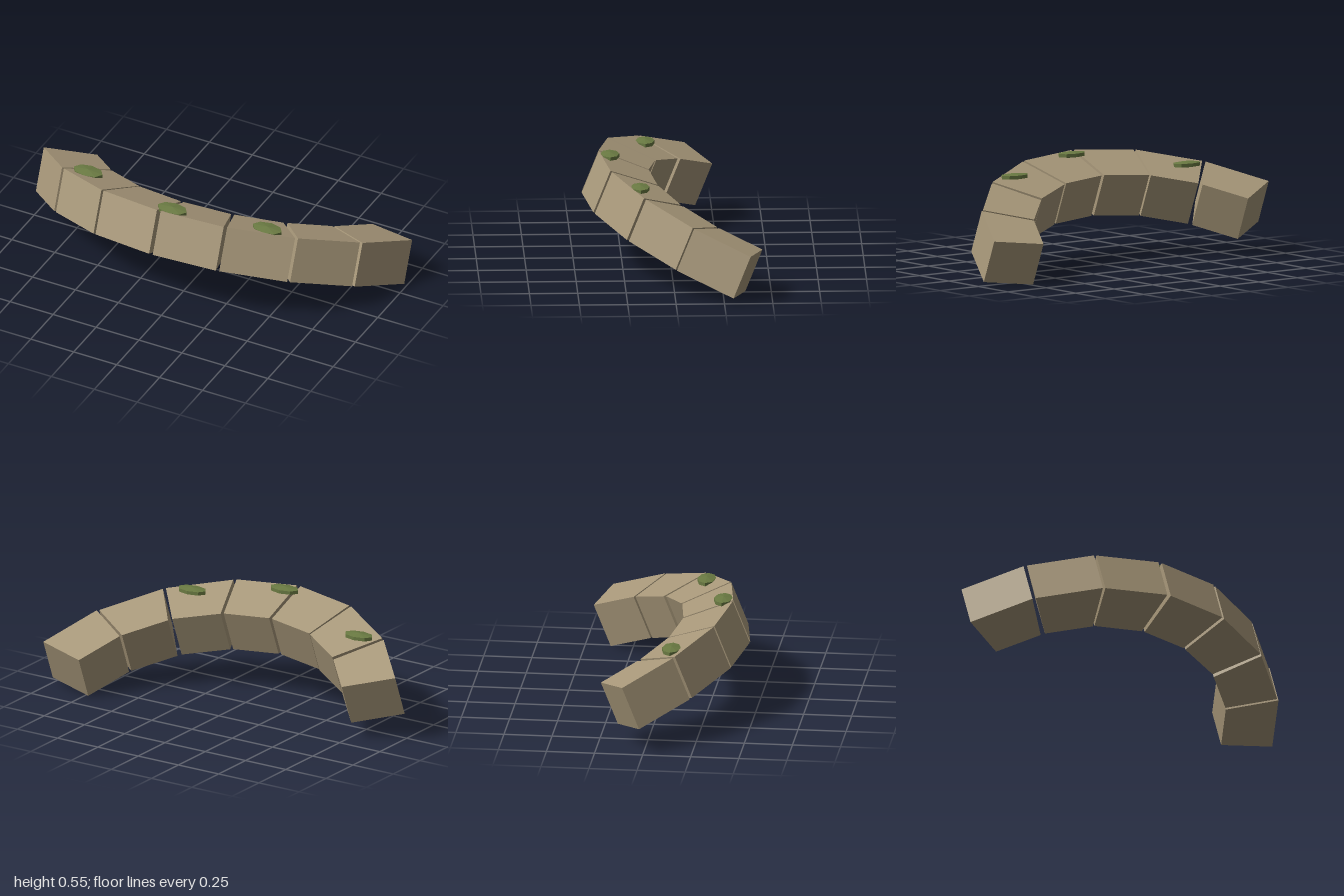
import * as THREE from 'three';

const TILT = 0.381;      // lean of the whole arch
const THICKNESS = 0.238; // depth of every block

export function createModel() {
  const model = new THREE.Group();
  model.name = 'fallenStoneArch';
  const stone = new THREE.MeshStandardMaterial({ color: 0xa8987a, flatShading: true });
  stone.name = 'sandstone';
  const moss = new THREE.MeshStandardMaterial({ color: 0x6a7a42, flatShading: true });
  moss.name = 'moss green';

  // Wedge blocks: plan corners (x, z) of the upper face, inner edge then outer edge
  const blocks = [
    [[-0.76, -0.245], [-0.594, -0.075], [-0.77, 0.13], [-1, -0.107]],
    [[-0.578, -0.06], [-0.36, 0.058], [-0.45, 0.305], [-0.755, 0.139]],
    [[-0.353, 0.063], [-0.092, 0.105], [-0.096, 0.364], [-0.437, 0.308]],
    [[-0.075, 0.105], [0.183, 0.069], [0.267, 0.315], [-0.075, 0.364]],
    [[0.198, 0.063], [0.428, -0.043], [0.598, 0.153], [0.283, 0.308]],
    [[0.444, -0.058], [0.618, -0.225], [0.849, -0.091], [0.61, 0.143]],
    [[0.733, -0.455], [1, -0.385], [0.861, -0.097], [0.626, -0.235]],
  ];
  const arch = new THREE.Group();
  arch.name = 'arch';
  arch.position.y = 0.407;
  arch.rotation.x = -TILT;
  blocks.forEach((corners, i) => {
    const outline = new THREE.Shape(
      corners.map(([x, z]) => new THREE.Vector2(x, -z / Math.cos(TILT))));
    const geometry = new THREE.ExtrudeGeometry(outline, { depth: THICKNESS, bevelEnabled: false });
    geometry.rotateX(-Math.PI / 2);
    geometry.translate(0, -THICKNESS, 0);
    const block = new THREE.Mesh(geometry, stone);
    block.name = `archBlock${i + 1}`;
    arch.add(block);
  });
  model.add(arch);

  // Flat moss tufts lying level on the upper face
  const tuft = new THREE.SphereGeometry(1, 8, 3);
  tuft.scale(0.096, 0.018, 0.056);
  [[-0.63, 0.46, 0.107], [-0.035, 0.54, 0.308], [0.444, 0.483, 0.167]].forEach((p, i) => {
    const mesh = new THREE.Mesh(tuft, moss);
    mesh.name = `mossPatch${i + 1}`;
    mesh.position.set(...p);
    model.add(mesh);
  });
  return model;
}
